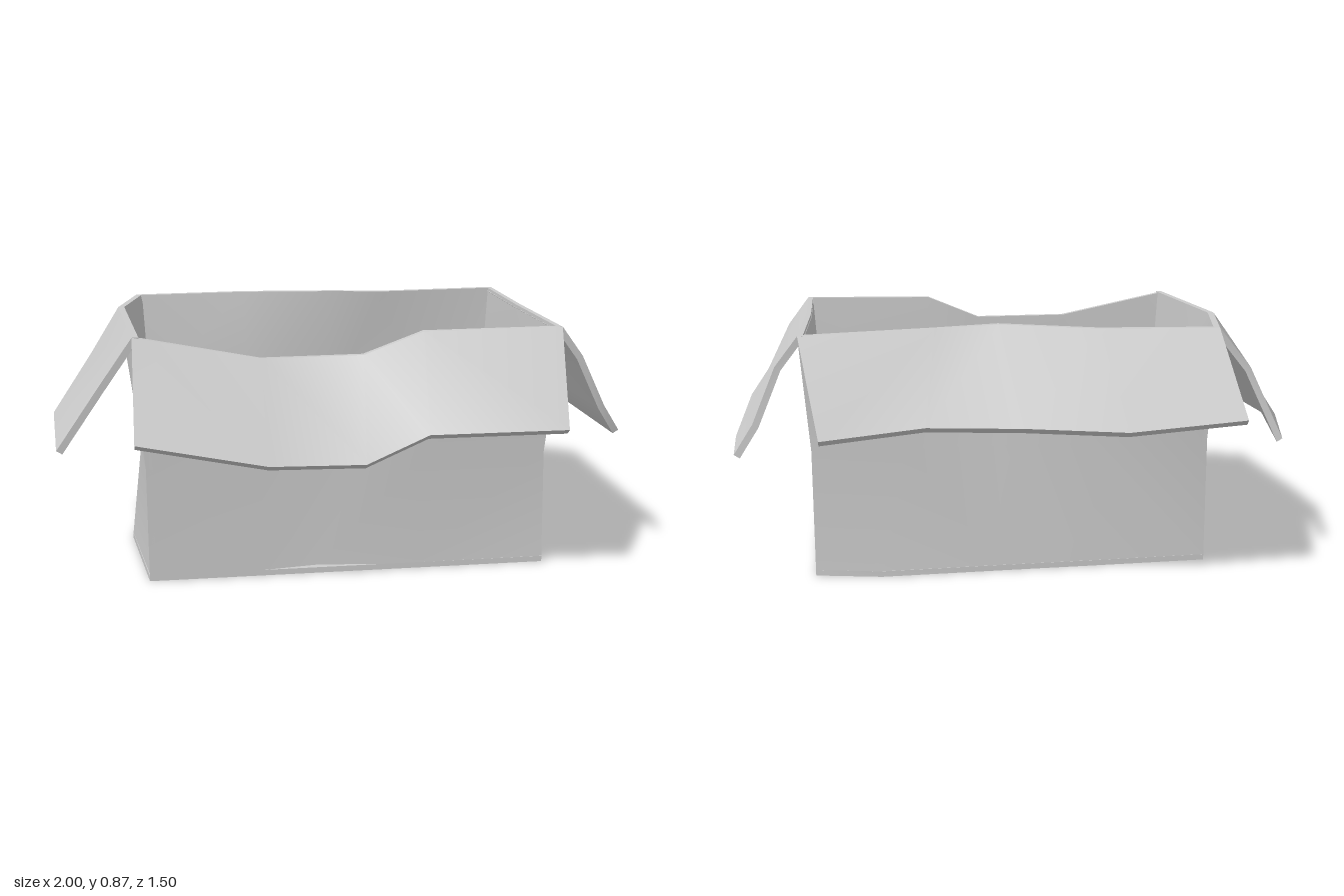
import * as THREE from 'three';
import { toCreasedNormals } from 'three/addons/utils/BufferGeometryUtils.js';

const material = new THREE.MeshStandardMaterial({ color: 0xcccccc });

function addMesh(group, name, geometry) {
  const mesh = new THREE.Mesh(toCreasedNormals(geometry, 0.6), material);
  mesh.name = name;
  group.add(mesh);
}

// Closed sheet of card: rows of points on the outer face, offset gives the other face
function sheet(rows, offset) {
  const nv = rows.length, nu = rows[0].length, n = nu * nv;
  const pos = [], index = [];
  const off = new THREE.Vector3(...offset);
  const pts = rows.flat().map(p => new THREE.Vector3(...p));
  pts.forEach(p => pos.push(p.x, p.y, p.z));
  pts.forEach(p => pos.push(p.x + off.x, p.y + off.y, p.z + off.z));

  // The outer face must look away from the offset
  const du = pts[nu - 1].clone().sub(pts[0]);
  const dv = pts[n - nu].clone().sub(pts[0]);
  const flip = du.cross(dv).dot(off) > 0;
  const quad = (a, b, c, d) => flip
    ? index.push(a, c, b, a, d, c)
    : index.push(a, b, c, a, c, d);

  for (let v = 0; v < nv - 1; v++) {
    for (let u = 0; u < nu - 1; u++) {
      const a = v * nu + u, b = a + 1, c = b + nu, d = a + nu;
      quad(a, b, c, d);
      quad(a + n, d + n, c + n, b + n);
    }
  }
  // Rim of the sheet
  const rim = (a, b) => quad(b, a, a + n, b + n);
  for (let u = 0; u < nu - 1; u++) {
    rim(u, u + 1);
    rim(n - 1 - u, n - 2 - u);
  }
  for (let v = 0; v < nv - 1; v++) {
    rim((v + 1) * nu, v * nu);
    rim((v + 1) * nu - 1, (v + 2) * nu - 1);
  }
  const g = new THREE.BufferGeometry();
  g.setAttribute('position', new THREE.Float32BufferAttribute(pos, 3));
  g.setIndex(index);
  return g;
}

// Each side: wall rows from the base up to the rim, then the flap from the rim outwards
const sides = {
  front: {
    wall: [
      [[-0.66, 0, 0.475], [-0.27, 0.02, 0.475], [-0.08, 0.03, 0.475], [0.28, 0.015, 0.475], [0.73, 0, 0.475]],
      [[-0.66, 0.4, 0.475], [-0.27, 0.4, 0.475], [0.08, 0.4, 0.465], [0.28, 0.4, 0.47], [0.73, 0.4, 0.445]],
    ],
    rim: [[-0.69, 0.855, 0.495], [-0.27, 0.77, 0.48], [0.08, 0.77, 0.465], [0.28, 0.85, 0.49], [0.76, 0.855, 0.495]],
    flap: [
      [[-0.69, 0.56, 0.745], [-0.27, 0.475, 0.745], [0.05, 0.46, 0.715], [0.25, 0.56, 0.745], [0.715, 0.56, 0.745]],
    ],
    wallOffset: [0, 0, -0.022],
    flapOffset: [0, -0.018, -0.022],
  },
  back: {
    wall: [
      [[-0.66, 0, -0.39], [-0.25, 0, -0.405], [0.08, 0, -0.415], [0.5, 0, -0.43], [0.73, 0, -0.39]],
      [[-0.66, 0.45, -0.38], [-0.25, 0.45, -0.38], [0.08, 0.45, -0.38], [0.4, 0.45, -0.385], [0.73, 0.45, -0.385]],
    ],
    rim: [[-0.68, 0.855, -0.415], [-0.26, 0.86, -0.415], [0.08, 0.868, -0.335], [0.3, 0.86, -0.35], [0.76, 0.855, -0.42]],
    flap: [
      [[-0.7, 0.6, -0.72], [-0.3, 0.578, -0.75], [0.04, 0.595, -0.725], [0.35, 0.585, -0.64], [0.69, 0.578, -0.75]],
    ],
    wallOffset: [0, 0, 0.025],
    flapOffset: [0, -0.018, 0.016],
  },
  left: {
    wall: [
      [[0.73, 0, 0.475], [0.735, 0, 0.04], [0.73, 0, -0.39]],
      [[0.73, 0.4, 0.445], [0.73, 0.4, 0.04], [0.73, 0.45, -0.385]],
    ],
    rim: [[0.76, 0.855, 0.495], [0.75, 0.857, 0.04], [0.76, 0.855, -0.42]],
    flap: [
      [[0.84, 0.75, 0.485], [0.845, 0.74, 0], [0.84, 0.75, -0.405]],
      [[0.93, 0.57, 0.475], [0.94, 0.57, -0.1], [0.92, 0.56, -0.425]],
      [[1, 0.47, 0.445], [1, 0.465, -0.2], [0.985, 0.46, -0.44]],
    ],
    wallOffset: [-0.018, 0, 0],
    flapOffset: [-0.02, -0.012, 0],
  },
  right: {
    wall: [
      [[-0.66, 0, 0.475], [-0.72, 0.015, 0.03], [-0.66, 0, -0.39]],
      [[-0.66, 0.4, 0.475], [-0.665, 0.4, 0], [-0.66, 0.45, -0.38]],
    ],
    rim: [[-0.69, 0.855, 0.495], [-0.745, 0.858, -0.1], [-0.68, 0.855, -0.415]],
    flap: [
      [[-0.81, 0.68, 0.465], [-0.85, 0.69, -0.1], [-0.8, 0.71, -0.405]],
      [[-0.955, 0.465, 0.435], [-1, 0.465, -0.1], [-0.915, 0.46, -0.44]],
    ],
    wallOffset: [0.022, 0, 0],
    flapOffset: [0.02, -0.012, 0],
  },
};

export function createModel() {
  const box = new THREE.Group();
  box.name = 'openCardboardBox';

  // Four bent walls and their folded-out flaps
  for (const [name, s] of Object.entries(sides)) {
    addMesh(box, name + 'Wall', sheet([...s.wall, s.rim], s.wallOffset));
    addMesh(box, name + 'Flap', sheet([s.rim, ...s.flap], s.flapOffset));
  }

  // Floor follows the base outline
  const outline = [
    ...sides.front.wall[0],
    ...sides.back.wall[0].slice().reverse(),
    sides.right.wall[0][1],
  ].map(([x, , z]) => new THREE.Vector2(x, -z));
  const floor = new THREE.ExtrudeGeometry(new THREE.Shape(outline), { depth: 0.02, bevelEnabled: false });
  floor.rotateX(-Math.PI / 2);
  addMesh(box, 'floor', floor);

  return box;
}
